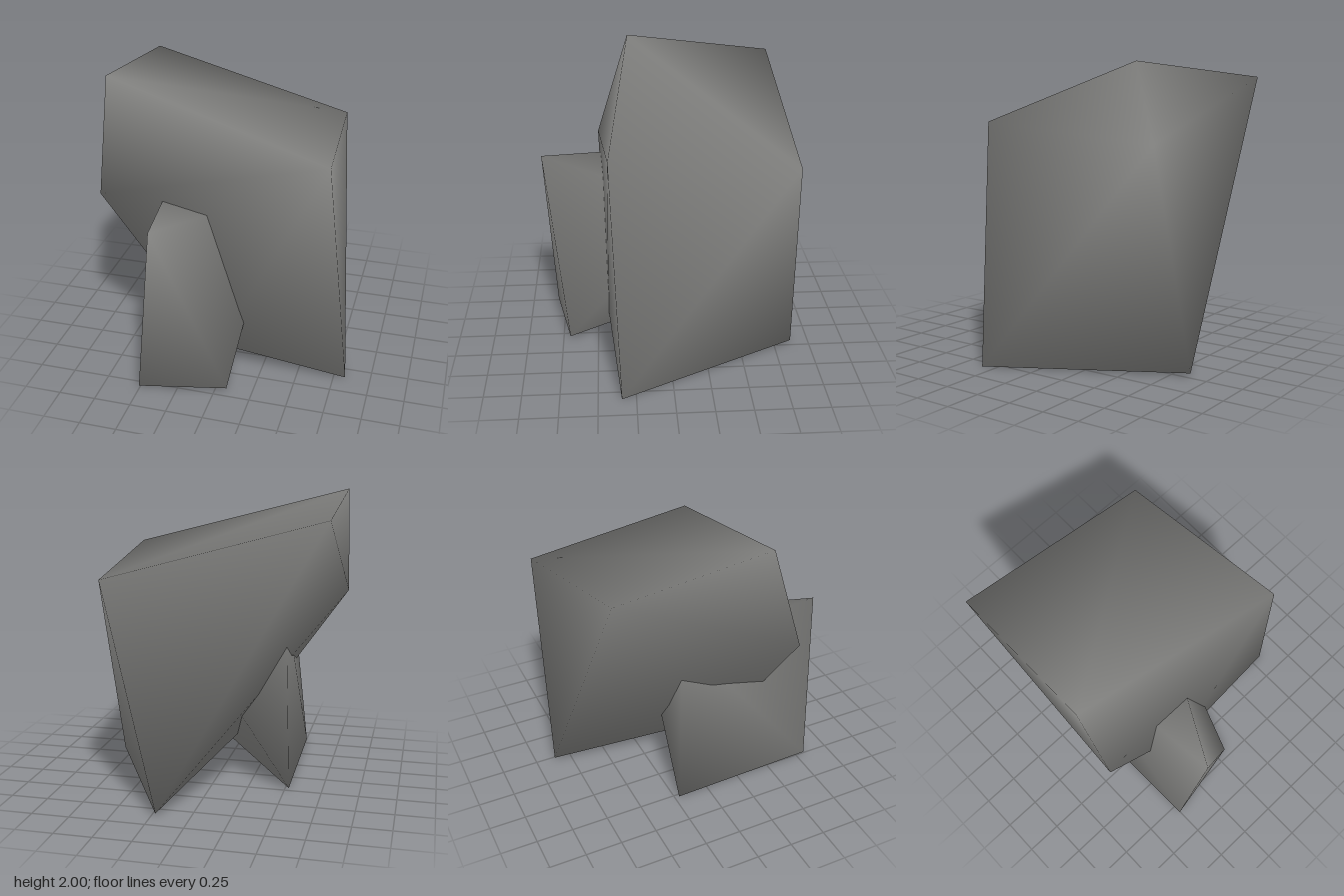
import * as THREE from 'three';
import { ConvexGeometry } from 'three/addons/geometries/ConvexGeometry.js';
import { mergeVertices } from 'three/addons/utils/BufferGeometryUtils.js';

const stone = new THREE.MeshStandardMaterial({ color: 0x80807e });
stone.name = 'stoneGrey';

// A rough stone: the convex hull of its corners, with smoothed normals
function makeRock(name, corners) {
  const hull = new ConvexGeometry(corners.map((c) => new THREE.Vector3(...c)));
  hull.deleteAttribute('normal');
  const geometry = mergeVertices(hull, 1e-4);
  geometry.computeVertexNormals();
  const mesh = new THREE.Mesh(geometry, stone);
  mesh.name = name;
  return mesh;
}

export function createModel() {
  const group = new THREE.Group();
  group.name = 'rocks';

  // Large leaning boulder
  group.add(makeRock('largeRock', [
    [-0.835, 2.0, 0.24],   // top, front
    [-0.83, 1.88, -0.78],  // top, back
    [-0.83, 1.27, 0.47],   // overhang, front
    [0.67, 1.595, 0.40],   // shoulder, front
    [0.58, 1.49, -0.805],  // shoulder, back
    [0.83, 0.005, 0.345],  // foot, front
    [0.22, 0.025, -0.87],  // foot, back
    [-0.06, 0.18, 0.425],  // underside, front
  ]));

  // Small upright stone sunk into its front
  group.add(makeRock('smallRock', [
    [-0.36, 1.255, 0.872],  // top, front
    [-0.485, 1.26, -0.18],  // top, back
    [0.22, 1.09, -0.17],    // shoulder, back
    [-0.505, 0.018, 0.81],  // foot, front
    [0.08, 0.03, 0.70],     // foot, side
    [-0.526, 0.01, -0.22],  // foot, back
  ]));

  return group;
}
